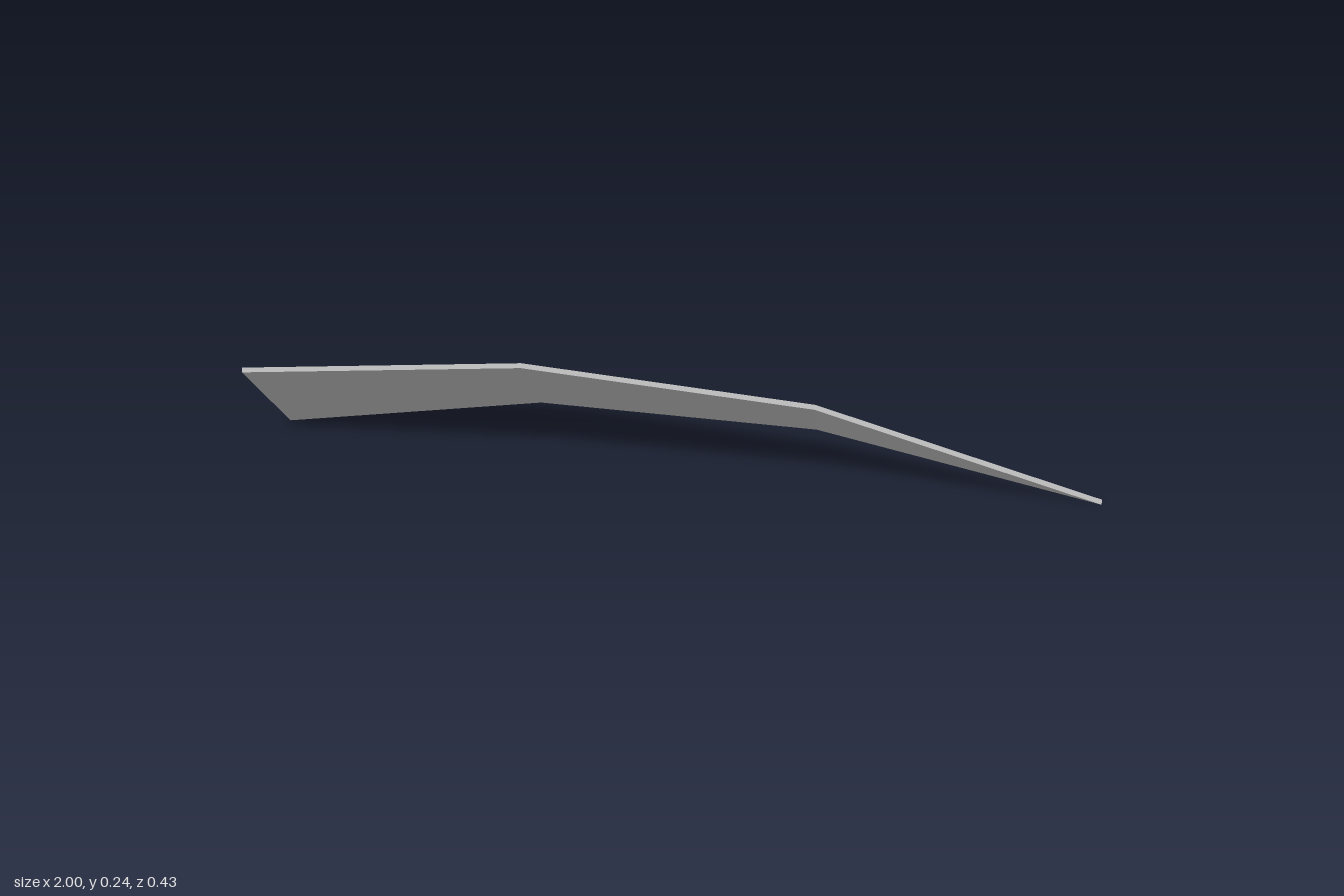
import * as THREE from 'three';

// Underside points of the folded blade at each station: front edge, fold, back edge
const stations = [
  [[-1, 0.179, 0.214], [-0.975, 0.002, 0.036], [-0.985, 0.032, -0.212]],
  [[-0.32, 0.232, 0.146], [-0.32, 0.107, 0.018], [-0.32, 0.121, -0.156]],
  [[0.36, 0.179, 0.087], [0.35, 0.108, 0.019], [0.34, 0.115, -0.077]],
  [[1, 0.004, 0.034], [1, 0.004, 0.034], [1, 0.004, 0.034]],
];
const THICK = [0, 0.011, -0.003];

// Closed cross-section: along the upper side, then back along the lower side
function section(points) {
  const lower = points.map((p) => new THREE.Vector3(...p));
  const upper = lower.map((p) => p.clone().add(new THREE.Vector3(...THICK)));
  return [...upper, ...lower.reverse()];
}

function bladeGeometry() {
  const rings = stations.map(section);
  const pos = [];
  const quad = (a, b, c, d) => [a, b, c, a, c, d].forEach((v) => pos.push(v.x, v.y, v.z));

  // Skin between neighbouring sections
  for (let i = 0; i < rings.length - 1; i++) {
    const near = rings[i], far = rings[i + 1];
    for (let j = 0; j < near.length; j++) {
      const k = (j + 1) % near.length;
      quad(near[k], near[j], far[j], far[k]);
    }
  }
  // Cut end at the wide base
  const [uf, um, ub, lb, lm, lf] = rings[0];
  quad(uf, um, lm, lf);
  quad(um, ub, lb, lm);

  const geometry = new THREE.BufferGeometry();
  geometry.setAttribute('position', new THREE.Float32BufferAttribute(pos, 3));
  geometry.computeVertexNormals(); // unshared corners keep the facets flat
  return geometry;
}

export function createModel() {
  const model = new THREE.Group();
  model.name = 'foldedBlade';
  const bladeGrey = new THREE.MeshStandardMaterial({ color: 0xc0c0c0 });
  bladeGrey.name = 'bladeGrey';
  const blade = new THREE.Mesh(bladeGeometry(), bladeGrey);
  blade.name = 'blade';
  model.add(blade);
  return model;
}
